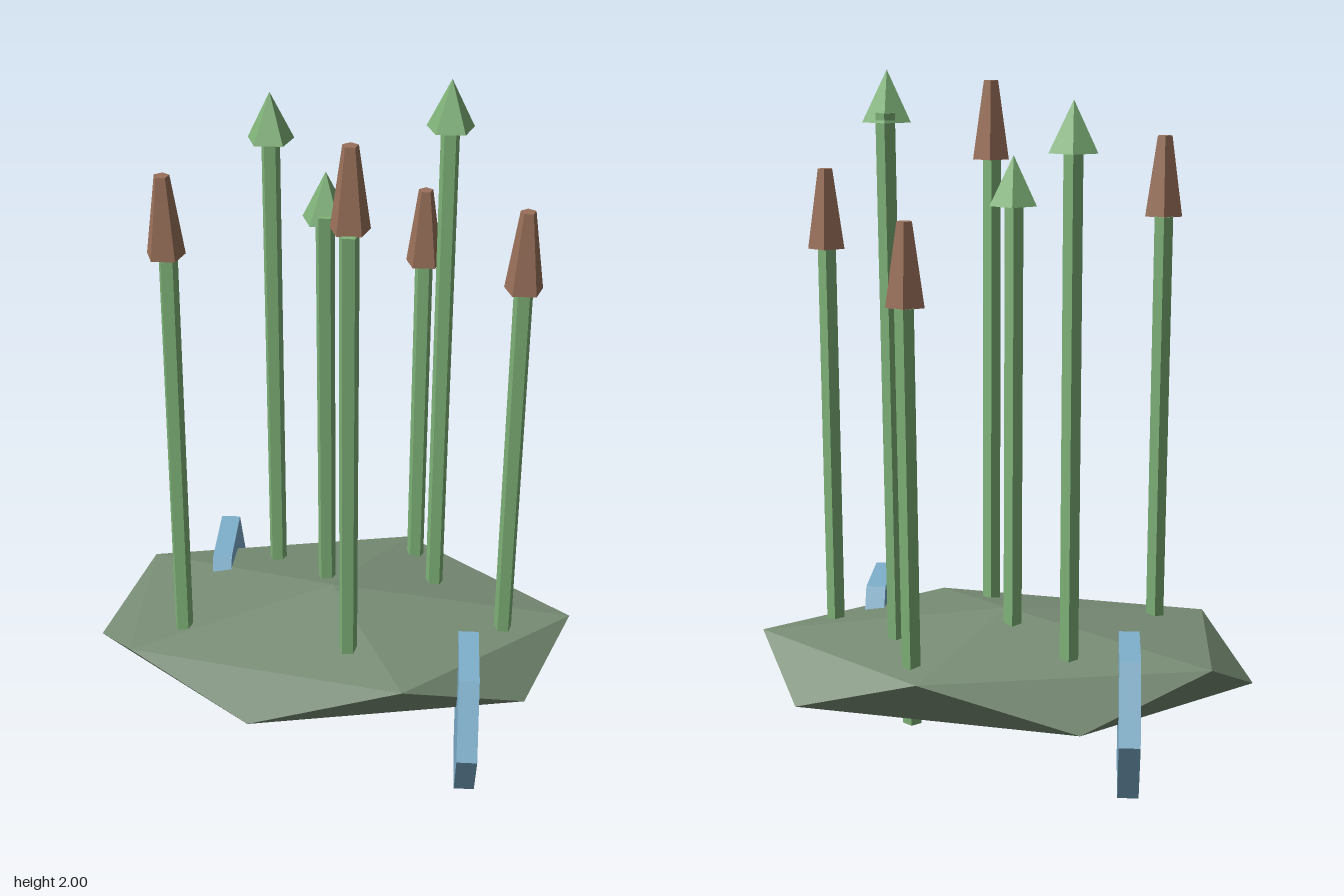
import * as THREE from 'three';
import { ConvexGeometry } from 'three/addons/geometries/ConvexGeometry.js';

const mat = (name, color) => Object.assign(new THREE.MeshStandardMaterial({ color }), { name });

// Facet a geometry so that every face is flat
function faceted(geometry) {
  const flat = geometry.index ? geometry.toNonIndexed() : geometry;
  flat.computeVertexNormals();
  return flat;
}

// Five-sided tapered prism with one corner pointing back
const fiveSided = (top, bottom, height) =>
  faceted(new THREE.CylinderGeometry(top, bottom, height, 5).rotateY(Math.PI));

export function createModel() {
  const model = new THREE.Group();
  model.name = 'reedIsland';

  const moss = mat('mossGreen', 0x788d75);
  const stem = mat('stemGreen', 0x7fb278);
  const brown = mat('reedBrown', 0x99705a);
  const blue = mat('paddleBlue', 0x7fb0cc);

  const add = (parent, name, geometry, material, x, y, z) => {
    const mesh = new THREE.Mesh(geometry, material);
    mesh.name = name;
    mesh.position.set(x, y, z);
    parent.add(mesh);
    return mesh;
  };

  // Island: a flattened icosahedron with its poles up and down
  const rx = 0.742, ry = 0.155, rz = 0.437;
  const points = [new THREE.Vector3(0, ry, 0), new THREE.Vector3(0, -ry, 0)];
  for (let i = 0; i < 10; i++) {
    const a = (i * Math.PI) / 5;
    const y = (i % 2 ? -1 : 1) * ry * 0.447;
    points.push(new THREE.Vector3(rx * 0.997 * Math.cos(a), y, rz * 0.997 * Math.sin(a)));
  }
  add(model, 'island', faceted(new ConvexGeometry(points)), moss, 0, 0.265, -0.025);

  // Hexagonal discs on opposite corners
  const disc = faceted(new THREE.CylinderGeometry(0.236, 0.236, 0.06, 6).rotateZ(Math.PI / 2));
  add(model, 'frontDisc', disc, blue, 0.422, 0.204, 0.294);
  add(model, 'backDisc', disc, blue, -0.364, 0.204, -0.294);

  // Reeds: x, z, height of the head's base, lean, kind of head
  const reeds = [
    [-0.447, 0.103, 1.58, -0.048, 'seed'],
    [0.062, 0.251, 1.73, 0.048, 'seed'],
    [0.253, -0.343, 1.38, -0.05, 'seed'],
    [0.529, 0.06, 1.485, 0, 'seed'],
    [-0.192, -0.257, 1.785, 0, 'bud'],
    [0.316, -0.172, 1.86, -0.046, 'bud'],
    [-0.022, -0.07, 1.625, 0.05, 'bud'],
  ];
  const seedHead = fiveSided(0.022, 0.056, 0.23);
  const budHead = fiveSided(0, 0.07, 0.14);
  const foot = 0.172;
  for (const [x, z, base, lean, kind] of reeds) {
    const reed = new THREE.Group();
    reed.name = kind === 'seed' ? 'seedReed' : 'budReed';
    const top = kind === 'seed' ? base + 0.003 : base + 0.028;
    const stalk = add(reed, 'stalk', fiveSided(0.028, 0.028, top - foot), stem, x, (top + foot) / 2, z);
    stalk.rotation.x = lean;
    if (kind === 'seed') add(reed, 'seedHead', seedHead, brown, x, base + 0.115, z);
    else add(reed, 'budHead', budHead, stem, x, base + 0.07, z);
    model.add(reed);
  }
  return model;
}
